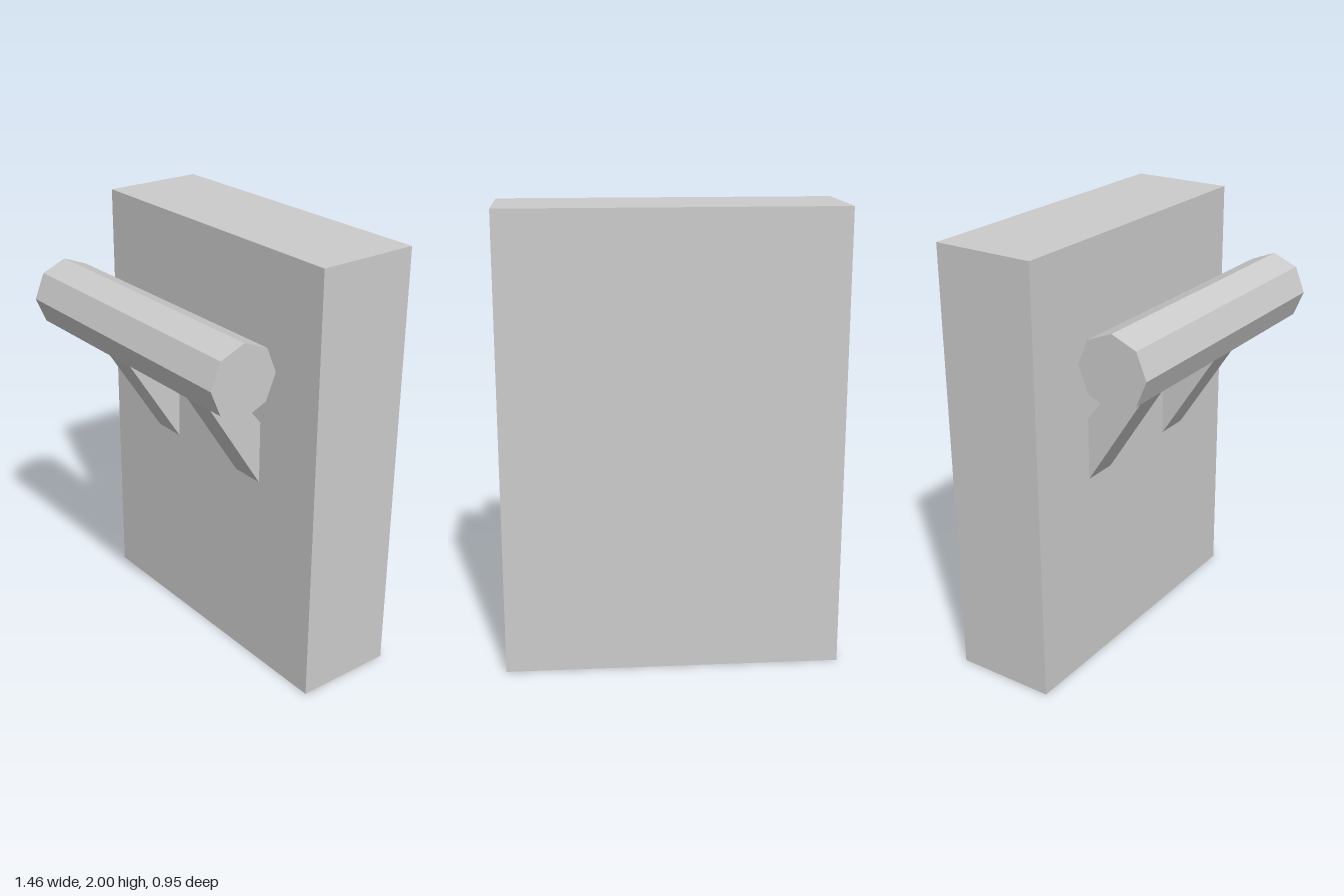
import * as THREE from 'three';

export function createModel() {
  const model = new THREE.Group();
  const material = new THREE.MeshStandardMaterial({ color: 0xcccccc, flatShading: true });

  const add = (name, geometry, x, y, z) => {
    const mesh = new THREE.Mesh(geometry, material);
    mesh.name = name;
    mesh.position.set(x, y, z);
    model.add(mesh);
  };

  // Thick upright slab
  add('panel', new THREE.BoxGeometry(1.46, 2, 0.47), 0, 1, -0.24);

  // Octagonal bar lying across the front, corners at top, bottom, front and back
  const bar = new THREE.CylinderGeometry(0.16, 0.16, 1.3, 8).rotateZ(Math.PI / 2);
  add('bar', bar, 0, 1.59, 0.315);

  // Sloping brackets: side profile in (z, y), extruded across x
  const width = 0.16;
  const profile = new THREE.Shape([
    new THREE.Vector2(-0.005, 0.93),
    new THREE.Vector2(0.315, 1.43),
    new THREE.Vector2(0.2, 1.477),
    new THREE.Vector2(-0.005, 1.22),
  ]);
  const bracket = new THREE.ExtrudeGeometry(profile, { depth: width, bevelEnabled: false })
    .translate(0, 0, -width / 2)
    .rotateY(-Math.PI / 2);
  add('leftBracket', bracket, 0.293, 0, 0);
  add('rightBracket', bracket, -0.295, 0, 0);

  return model;
}
